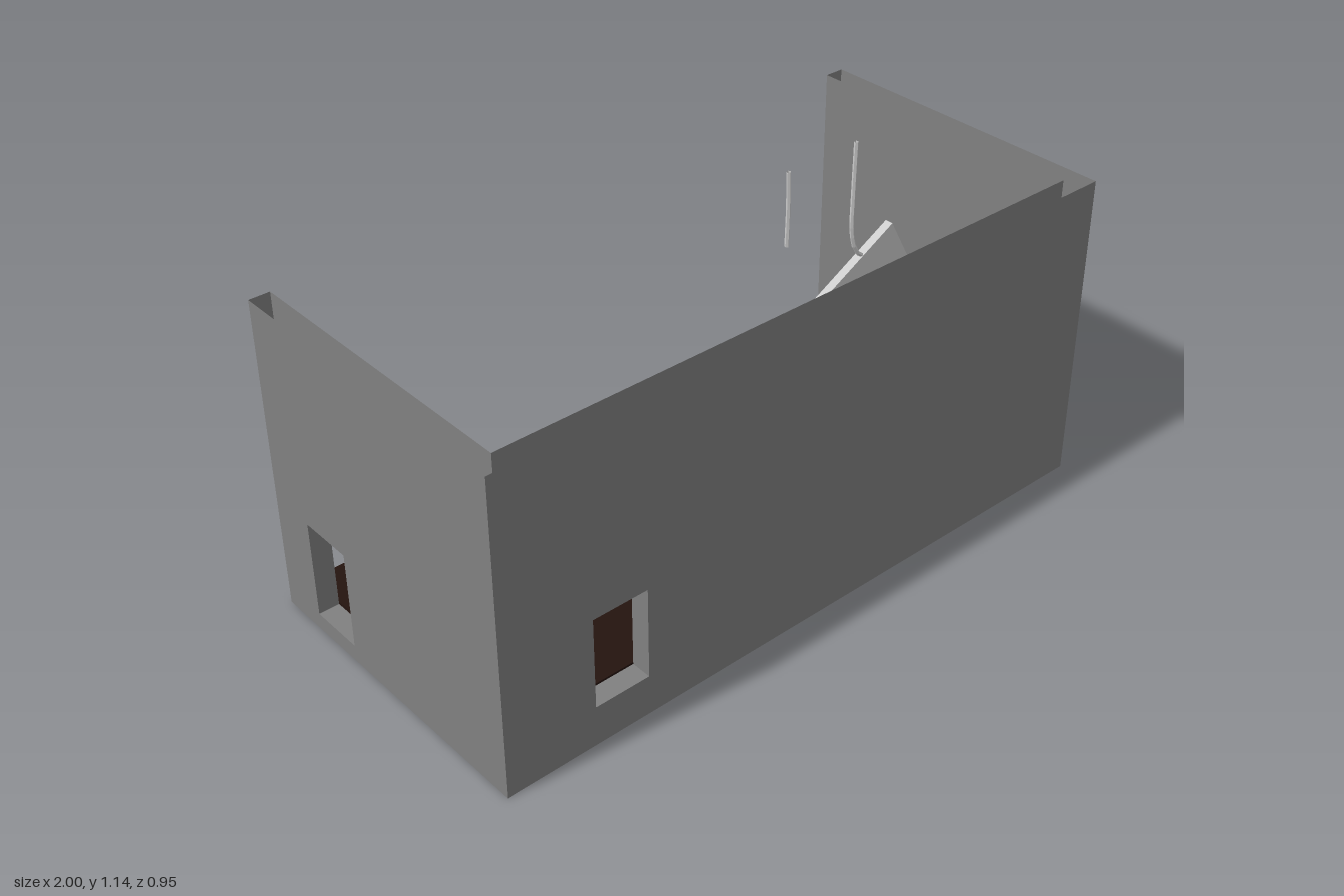
import * as THREE from 'three';

const mat = (color) => new THREE.MeshStandardMaterial({ color, flatShading: true, side: THREE.DoubleSide });
const WALL = mat(0x808080), LIGHT = mat(0xcccccc), BLUE = mat(0x26265a),
  BROWN = mat(0x24140f), BLACK = mat(0x0a0a0a);
const V = (x, y, z) => new THREE.Vector3(x, y, z);
const T = 0.06; // wall thickness

function add(parent, name, geometry, material, x = 0, y = 0, z = 0) {
  const m = new THREE.Mesh(geometry, material);
  m.name = name;
  m.position.set(x, y, z);
  parent.add(m);
  return m;
}

// Joins rings of points into a faceted surface with closed ends
function loft(rings) {
  const pos = [], tri = (...ps) => ps.forEach((p) => pos.push(p.x, p.y, p.z));
  const n = rings[0].length;
  for (let r = 0; r + 1 < rings.length; r++)
    for (let i = 0; i < n; i++) {
      const j = (i + 1) % n, a = rings[r], b = rings[r + 1];
      tri(a[i], b[i], b[j]);
      tri(a[i], b[j], a[j]);
    }
  for (const ring of [rings[0], rings[rings.length - 1]]) {
    const c = ring.reduce((s, p) => s.add(p), V(0, 0, 0)).divideScalar(n);
    ring.forEach((p, i) => tri(p, ring[(i + 1) % n], c));
  }
  const g = new THREE.BufferGeometry();
  g.setAttribute('position', new THREE.Float32BufferAttribute(pos, 3));
  g.computeVertexNormals();
  return g;
}

// Flat panel with a rectangular hole
function panel(x0, x1, y0, y1, [a, b, c, d]) {
  const s = new THREE.Shape([[x0, y0], [x1, y0], [x1, y1], [x0, y1]].map((p) => new THREE.Vector2(...p)));
  s.holes.push(new THREE.Path([[a, c], [a, d], [b, d], [b, c]].map((p) => new THREE.Vector2(...p))));
  return new THREE.ShapeGeometry(s);
}

// Hollow wall, open on top: outer skin, inner skin and window reveal
function wall(name, half, in0, in1, hole) {
  const g = new THREE.Group();
  g.name = name;
  add(g, 'outerSkin', panel(-half, half, 0, 0.93, hole), WALL);
  add(g, 'innerSkin', panel(in0, in1, 0.03, 0.93, hole), WALL, 0, 0, -T);
  const [a, b, c, d] = hole;
  for (const y of [c, d])
    add(g, 'windowSill', new THREE.PlaneGeometry(b - a, T), WALL, (a + b) / 2, y, -T / 2).rotation.x = -Math.PI / 2;
  for (const x of [a, b])
    add(g, 'windowJamb', new THREE.PlaneGeometry(T, d - c), WALL, x, (c + d) / 2, -T / 2).rotation.y = Math.PI / 2;
  return g;
}

// Row of three seats between four bent frames
function bench() {
  const g = new THREE.Group();
  g.name = 'bench';
  const profile = [[-0.1, 0.075], [-0.03, 0.095], [0.015, 0.125], [-0.025, 0.215], [0, 0.24], [0.085, 0.235], [0.1, 0.21], [0.1, 0.12]];
  const strip = (name, x, width, thick, from, to, material) => {
    for (let i = from; i < to; i++) {
      const [z0, y0] = profile[i], [z1, y1] = profile[i + 1];
      const len = Math.hypot(z1 - z0, y1 - y0);
      const m = add(g, name, new THREE.BoxGeometry(width, thick, len + thick * 0.6), material, x, (y0 + y1) / 2, (z0 + z1) / 2);
      m.rotation.x = -Math.atan2(y1 - y0, z1 - z0);
    }
  };
  for (let i = 0; i < 4; i++) strip('benchFrame', (i - 1.5) * 0.127, 0.024, 0.02, 0, 7, LIGHT);
  for (let i = 0; i < 3; i++) strip('benchSeat', (i - 1) * 0.127, 0.104, 0.008, 0, 3, BLUE);
  return g;
}

export function createModel() {
  const root = new THREE.Group();
  root.name = 'ruinedRoom';

  // Walls
  const front = wall('frontWall', 1, -0.94, 0.94, [-0.73, -0.565, 0.12, 0.39]);
  front.position.z = 0.475;
  root.add(front);
  const ledge = new THREE.Shape([[-0.93, -T], [-0.04, -T], [-0.56, 0], [-0.73, 0]].map((p) => new THREE.Vector2(...p)));
  add(front, 'windowLedge', new THREE.ShapeGeometry(ledge), WALL, 0, 0.392, 0).rotation.x = Math.PI / 2;
  for (const side of [1, -1]) {
    const pivot = new THREE.Group();
    pivot.name = side > 0 ? 'leftWall' : 'rightWall';
    const w = wall('sideWall', 0.475, -0.415, 0.475, [0.165, 0.33, 0.05, 0.34]);
    w.rotation.y = Math.PI / 2;
    w.position.x = 1;
    pivot.add(w);
    add(pivot, 'wallEnd', new THREE.PlaneGeometry(T, 0.89), WALL, 1 - T / 2, 0.485, -0.475);
    pivot.scale.x = side;
    root.add(pivot);
  }

  // Base and sloping floor
  add(root, 'base', new THREE.BoxGeometry(1.996, 0.036, 0.947), BLACK, 0, 0.019, 0);
  const floorRing = (x) => [V(x, 0.037, -0.475), V(x, 0.042, -0.475), V(x, 0.125, 0.414), V(x, 0.037, 0.414)];
  add(root, 'floor', loft([floorRing(-0.939), floorRing(0.939)]), BROWN);
  add(root, 'crate', new THREE.BoxGeometry(0.22, 0.18, 0.09), BROWN, 0.19, 0.18, 0.285);

  // Benches
  const b1 = bench();
  b1.position.set(-0.4, 0.005, -0.035);
  const b2 = bench();
  b2.position.set(-0.17, 0.02, 0.23);
  b2.rotation.y = 2.75;
  root.add(b1, b2);

  // Tilted hanging sign and its rods
  const sign = new THREE.Group();
  sign.name = 'hangingSign';
  sign.position.set(0.363, 0.636, 0.17);
  sign.rotation.z = 0.505;
  add(sign, 'signBoard', new THREE.BoxGeometry(0.51, 0.21, 0.024), LIGHT);
  add(sign, 'signBack', new THREE.BoxGeometry(0.494, 0.194, 0.002), WALL, 0, 0, -0.0125);
  root.add(sign);
  const rods = [
    [[0.155, 1.13], [0.157, 1.03], [0.155, 0.92]],
    [[0.39, 1.135], [0.388, 0.98], [0.39, 0.87], [0.41, 0.81], [0.44, 0.785]],
    [[0.1, 0.645], [0.075, 0.61], [0.07, 0.56], [0.095, 0.51]],
  ];
  for (const pts of rods) {
    const curve = new THREE.CatmullRomCurve3(pts.map(([x, y]) => V(x, y, 0.175)));
    add(root, 'signRod', new THREE.TubeGeometry(curve, 12, 0.006, 5), LIGHT);
  }

  // Two long dark folds flaring out from one tip
  const tip = V(-0.28, 0.4, 0.25);
  const folds = [
    [[0.6, 0.2, -0.27], [0.57, 0.25, -0.22], [0.61, 0.23, -0.17], [0.62, 0.13, -0.17], [0.59, 0.08, -0.2], [0.57, 0.15, -0.22]],
    [[0.78, 0.27, -0.14], [0.8, 0.31, -0.05], [0.83, 0.28, 0.05], [0.73, 0.22, 0.17], [0.79, 0.17, 0.06], [0.78, 0.21, -0.05]],
  ];
  for (const f of folds) {
    const end = f.map((p) => V(...p));
    const rings = [0.04, 0.5, 0.9, 1].map((t) => end.map((p) => tip.clone().lerp(p, t)));
    add(root, 'darkFold', loft(rings), BLACK);
  }

  // Dark angular body with an arched limb: x, y, half height, half depth
  const limb = (name, stations) => add(root, name, loft(stations.map(([x, y, h, d]) =>
    [V(x, y + h, 0.3), V(x, y, 0.3 + d), V(x, y - h, 0.3), V(x, y, 0.3 - d)])), BLACK);
  limb('darkBody', [[-0.1, 0.37, 0.01, 0.01], [-0.25, 0.4, 0.045, 0.06], [-0.46, 0.4, 0.05, 0.06], [-0.56, 0.38, 0.02, 0.03]]);
  limb('archedLimb', [[-0.16, 0.4, 0.02, 0.02], [-0.27, 0.5, 0.04, 0.03], [-0.37, 0.585, 0.035, 0.03], [-0.43, 0.51, 0.05, 0.035], [-0.52, 0.4, 0.03, 0.03]]);

  return root;
}
